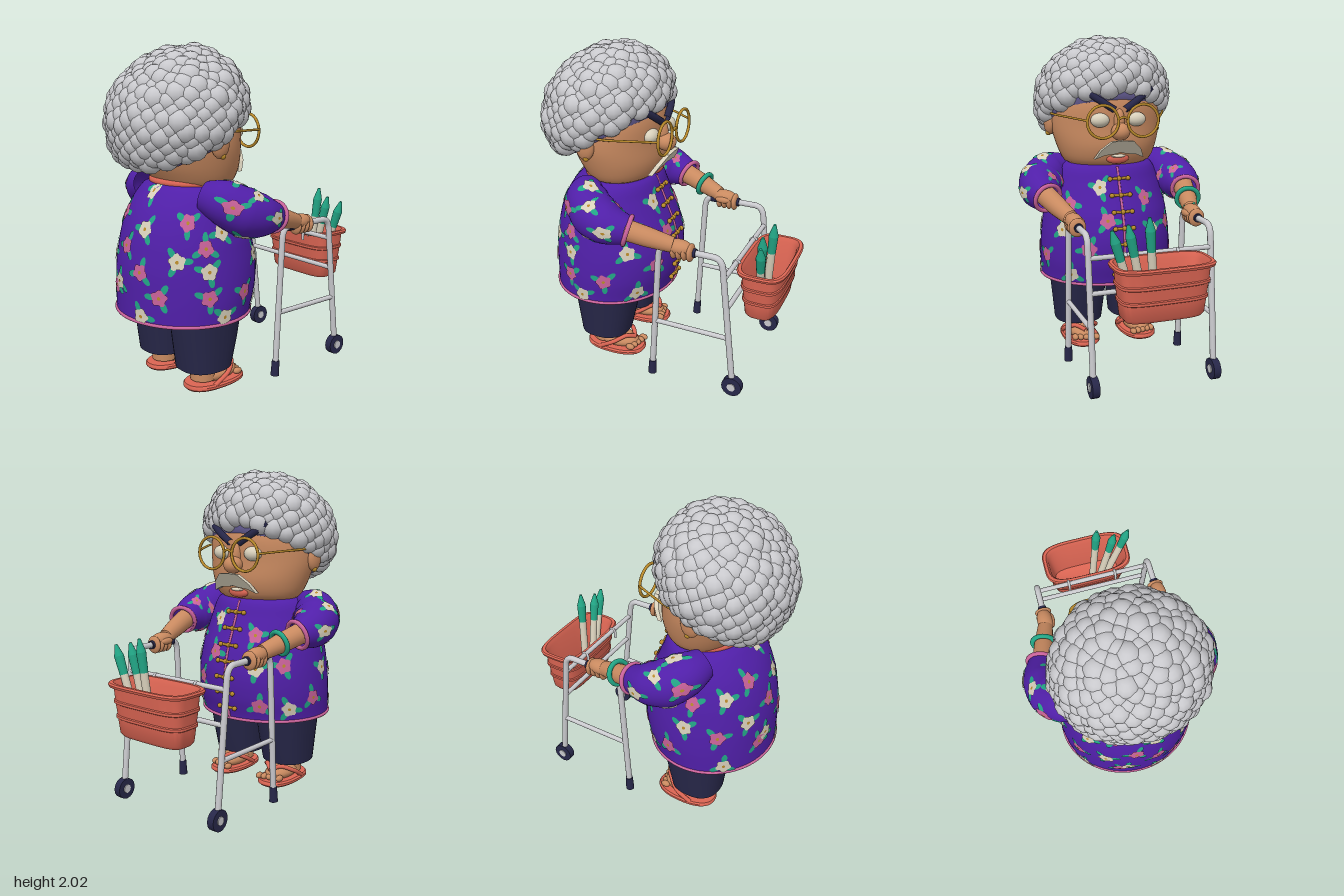
import * as THREE from 'three';
import { mergeGeometries, toCreasedNormals } from 'three/addons/utils/BufferGeometryUtils.js';

const V = (x, y, z) => new THREE.Vector3(x, y, z);
const paint = (name, color) => Object.assign(new THREE.MeshStandardMaterial({ color, side: THREE.DoubleSide }), { name });

// Surface from a grid of points: f(i, j) for i in 0..rows, j around 0..n
function grid(rows, n, f) {
  const pos = [], idx = [];
  for (let i = 0; i <= rows; i++) for (let j = 0; j <= n; j++) pos.push(...f(i, j / n).toArray());
  for (let i = 0; i < rows; i++) for (let j = 0; j < n; j++) {
    const a = i * (n + 1) + j, b = a + n + 1;
    idx.push(a, a + 1, b, a + 1, b + 1, b);
  }
  const g = new THREE.BufferGeometry();
  g.setAttribute('position', new THREE.Float32BufferAttribute(pos, 3));
  g.setIndex(idx);
  return toCreasedNormals(g, 0.7);
}

// Section row: [y, half width, z front, z back]; interpolated smoothly by height
function rowAt(rows, y) {
  let i = 0;
  while (i < rows.length - 2 && y > rows[i + 1][0]) i++;
  const t = (y - rows[i][0]) / (rows[i + 1][0] - rows[i][0]);
  const r = k => rows[Math.max(0, Math.min(rows.length - 1, k))];
  return [0, 1, 2, 3].map(c => {
    if (c === 0) return y;
    const [a, b, d, e] = [r(i - 1)[c], r(i)[c], r(i + 1)[c], r(i + 2)[c]];
    return b + 0.5 * t * (d - a + t * (2 * a - 5 * b + 4 * d - e + t * (3 * (b - d) + e - a)));
  });
}
const smooth = (rows, n) => Array.from({ length: n + 1 }, (_, i) =>
  rowAt(rows, THREE.MathUtils.lerp(rows[0][0], rows[rows.length - 1][0], i / n)));
function ringPoint([y, rx, zf, zb], a, off = 0, p = 2, cx = 0) {
  const q = v => Math.sign(v) * Math.abs(v) ** (2 / p);
  return V(cx + (rx + off) * q(Math.sin(a)), y, (zf + zb) / 2 + ((zb - zf) / 2 + off) * q(Math.cos(a)));
}
const loft = (rows, n = 48, p = 2, cx = 0) =>
  grid(rows.length - 1, n, (i, u) => ringPoint(rows[i], u * Math.PI * 2, 0, p, cx));

// Limb of changing radius along a curve
function limbPoint(curve, radii, t, a, off = 0) {
  t = THREE.MathUtils.clamp(t, 0, 1);
  const T = curve.getTangent(t), N = V(0, 1, 0).cross(T).normalize(), B = T.clone().cross(N);
  const k = Math.min(radii.length - 1.001, t * (radii.length - 1)), i = Math.floor(k);
  const r = THREE.MathUtils.lerp(radii[i], radii[i + 1], k - i) + off;
  return curve.getPoint(t).addScaledVector(N, r * Math.cos(a)).addScaledVector(B, r * Math.sin(a));
}

const TUNIC = [[0.45, 0.43, 0, 0.77], [0.6, 0.438, -0.04, 0.77], [0.75, 0.43, -0.05, 0.765], [0.9, 0.41, -0.02, 0.74],
  [1.0, 0.385, 0.02, 0.71], [1.1, 0.355, 0.06, 0.66], [1.2, 0.3, 0.1, 0.58], [1.26, 0.16, 0.2, 0.47]];
const HEAD = [[1.16, 0.16, 0.2, 0.45], [1.22, 0.28, 0.1, 0.52], [1.32, 0.33, 0.06, 0.58], [1.45, 0.36, 0.06, 0.62],
  [1.6, 0.35, 0.06, 0.62], [1.75, 0.3, 0.12, 0.6], [1.85, 0.1, 0.25, 0.5]];

export function createModel() {
  const root = new THREE.Group();
  const M = {
    purple: paint('purple cloth', 0x501fa8), pink: paint('pink', 0xc9629a), cream: paint('cream', 0xd8d0bb),
    teal: paint('teal', 0x22a585), navy: paint('navy', 0x272749), skin: paint('skin', 0xc98a60),
    coral: paint('coral', 0xdb6553), grey: paint('light grey', 0xc9c9cd), gold: paint('gold', 0xb8892a), mauve: paint('mauve', 0x675f96),
  };
  const add = (name, geo, mat, p) => {
    const m = new THREE.Mesh(geo, M[mat]);
    m.name = name;
    if (p) m.position.set(...p);
    root.add(m);
    return m;
  };
  const ball = (name, mat, p, s) => add(name, new THREE.SphereGeometry(1, 24, 16), mat, p).scale.set(...s);
  const tube = (name, mat, pts, r, closed = false) => add(name,
    new THREE.TubeGeometry(new THREE.CatmullRomCurve3(pts.map(p => p.isVector3 ? p : V(...p)), closed), pts.length * 6, r, 10, closed), mat);
  const rod = (name, mat, a, b, r0, r1 = r0) => {
    const A = V(...a), d = V(...b).sub(A);
    const m = add(name, new THREE.CylinderGeometry(r1, r0, d.length(), 16), mat);
    m.position.copy(A).addScaledVector(d, 0.5);
    m.quaternion.setFromUnitVectors(V(0, 1, 0), d.normalize());
    return m;
  };

  // Flowers: thin patches wrapped on a surface function (dx, dy, off) => point
  const patches = { teal: [], pink: [], cream: [], gold: [] };
  function patch(color, wrap, off, shape) {
    const g = new THREE.CircleGeometry(1, 20), P = g.attributes.position;
    for (let i = 0; i < P.count; i++) {
      const [x, y] = shape(P.getX(i), P.getY(i));
      P.setXYZ(i, ...wrap(x, y, off).toArray());
    }
    g.computeVertexNormals();
    patches[color].push(g);
  }
  function flower(color, wrap, turn) {
    for (let k = 0; k < 3; k++) {
      const a = turn + k * 2.1, c = Math.cos(a), s = Math.sin(a);
      patch('teal', wrap, 0.004, (x, y) => [c * (0.058 + x * 0.034) - s * y * 0.018, s * (0.058 + x * 0.034) + c * y * 0.018]);
    }
    patch(color, wrap, 0.007, (x, y) => {
      const r = 0.046 * (1 + 0.14 * Math.cos(5 * Math.atan2(y, x) + turn));
      return [x * r, y * r];
    });
    patch('gold', wrap, 0.009, (x, y) => [x * 0.01, y * 0.01]);
  }

  // Tunic with trim
  add('tunic', loft(smooth(TUNIC, 40), 64), 'purple');
  const hoop = y => Array.from({ length: 24 }, (_, i) => ringPoint(rowAt(TUNIC, y), i * Math.PI / 12));
  tube('hemTrim', 'pink', hoop(0.455), 0.01, true);
  tube('collar', 'coral', hoop(1.225), 0.022, true);
  tube('placket', 'pink', smooth(TUNIC.slice(0, 7), 12).map(r => ringPoint(r, Math.PI)), 0.008);
  for (let y = 0.53; y < 1.17; y += 0.1) {
    const z = rowAt(TUNIC, y)[2] - 0.008;
    tube('buttonLoop', 'gold', [[-0.06, y, z + 0.008], [0, y, z], [0.06, y, z + 0.008]], 0.009);
    for (const x of [-0.06, 0, 0.06]) ball('button', 'gold', [x, y, z], [0.015, 0.015, 0.015]);
  }
  // Flower places on the tunic: angle from the back in degrees, height
  const pinks = [[-25, 1.05], [14, 0.75], [53, 1.04], [-19, 0.62], [31, 0.62], [-57, 0.73], [68, 0.9], [104, 0.62], [130, 0.97],
    [150, 0.7], [-80, 0.95], [-100, 0.6], [-128, 0.82], [-155, 1.0], [-150, 0.56], [70, 0.62], [166, 0.88], [-5, 0.88]];
  const creams = [[14, 0.99], [-31, 0.8], [-12, 0.66], [70, 0.77], [15, 0.495], [84, 0.98], [85, 0.5], [124, 0.81], [5, 1.19],
    [-50, 0.98], [-52, 0.51], [-85, 0.78], [-125, 0.54], [-108, 1.0], [-152, 0.8], [135, 0.52], [160, 1.08], [45, 0.83]];
  [pinks, creams].forEach((list, c) => list.forEach(([deg, y], k) => flower(c ? 'cream' : 'pink',
    (dx, dy, off) => ringPoint(rowAt(TUNIC, Math.max(0.452, y + dy)), deg * Math.PI / 180 + dx / 0.41, off), k * 1.3 + c)));

  // Trousers
  ball('hips', 'navy', [0, 0.47, 0.37], [0.38, 0.11, 0.27]);
  for (const s of [-1, 1]) {
    add('trouserLeg', loft([[0.13, 0, 0.38, 0.38], [0.13, 0.155, 0.22, 0.54], [0.3, 0.172, 0.18, 0.56], [0.48, 0.19, 0.15, 0.58]], 32, 2.4, s * 0.192), 'navy');
    // Feet and sandals
    const x = s * 0.2;
    rod('ankle', 'skin', [x, 0.05, 0.39], [x, 0.16, 0.39], 0.078);
    ball('foot', 'skin', [x, 0.065, 0.3], [0.085, 0.05, 0.15]);
    for (let k = 0; k < 5; k++) ball('toe', 'skin', [x + s * (k - 2) * 0.034, 0.055, 0.145 + k * 0.008], [0.02, 0.02, 0.03]);
    add('sandalSole', loft([[0, 0, 0.31, 0.31], [0, 0.105, 0.12, 0.5], [0.012, 0.12, 0.108, 0.51], [0.026, 0.12, 0.108, 0.51],
      [0.036, 0.11, 0.115, 0.505], [0.036, 0, 0.31, 0.31]], 40, 2.4, x), 'coral');
    for (const q of [-1, 1]) tube('sandalStrap', 'coral', [[x, 0.1, 0.17], [x + q * 0.05, 0.122, 0.21], [x + q * 0.105, 0.09, 0.28], [x + q * 0.105, 0.03, 0.38]], 0.014);

    // Sleeve, cuff and forearm
    const path = new THREE.CatmullRomCurve3([V(s * 0.28, 1.17, 0.43), V(s * 0.38, 1.145, 0.38), V(s * 0.45, 1.09, 0.29), V(s * 0.475, 1.06, 0.19), V(s * 0.46, 1.035, 0.07)]);
    const radii = [0.09, 0.128, 0.142, 0.125, 0.085];
    add('sleeve', grid(24, 32, (i, u) => limbPoint(path, radii, i / 24, u * Math.PI * 2)), 'purple');
    const len = path.getLength();
    [[0.3, 1.5], [0.55, 0.2], [0.55, 2.2], [0.8, 1.0], [0.8, 3.1], [0.35, 3.0], [0.55, 4.4], [0.8, 5.2]].forEach(([t, a], k) =>
      flower(k % 2 ? 'pink' : 'cream', (dx, dy, off) => limbPoint(path, radii, t + dy * 0.8 / len, (s > 0 ? a : -a - Math.PI) + dx * 0.8 / 0.125, off), k * 1.7));
    const cuff = add('cuff', new THREE.TorusGeometry(0.086, 0.014, 10, 32), 'pink', [s * 0.46, 1.035, 0.07]);
    cuff.lookAt(s * 0.38, 0.95, -0.2);
    const arm = new THREE.CatmullRomCurve3([V(s * 0.465, 1.045, 0.12), V(s * 0.425, 1.0, -0.04), V(s * 0.385, 0.96, -0.18)]);
    add('forearm', grid(10, 20, (i, u) => limbPoint(arm, [0.066, 0.06, 0.047], i / 10, u * Math.PI * 2)), 'skin');

    // Hand wrapped round the grip
    ball('palm', 'skin', [s * 0.378, 0.952, -0.22], [0.05, 0.045, 0.085]);
    for (let k = 0; k < 4; k++) ball('finger', 'skin', [s * 0.376, 0.928, -0.19 - k * 0.034], [0.052, 0.056, 0.021]);
    ball('thumb', 'skin', [s * 0.335, 0.945, -0.22], [0.02, 0.022, 0.05]);

    // Walker side frame
    const X = s * 0.375, c = new THREE.CurvePath();
    const p = [V(X, 0.05, -0.04), V(X, 0.86, -0.085), V(X, 0.93, -0.09), V(X, 0.93, -0.14), V(X, 0.93, -0.43), V(X, 0.93, -0.485), V(X, 0.86, -0.492), V(X, 0.08, -0.575)];
    c.add(new THREE.LineCurve3(p[0], p[1]));
    c.add(new THREE.QuadraticBezierCurve3(p[1], p[2], p[3]));
    c.add(new THREE.LineCurve3(p[3], p[4]));
    c.add(new THREE.QuadraticBezierCurve3(p[4], p[5], p[6]));
    c.add(new THREE.LineCurve3(p[6], p[7]));
    add('walkerFrame', new THREE.TubeGeometry(c, 90, 0.019, 12), 'grey');
    rod('sideBar', 'grey', [X, 0.4, -0.06], [X, 0.4, -0.54], 0.015);
    rod('grip', 'navy', [X, 0.93, -0.13], [X, 0.93, -0.325], 0.027);
    rod('rubberFoot', 'navy', [X, 0, -0.037], [X, 0.095, -0.042], 0.027, 0.023);
    rod('wheel', 'navy', [X - 0.022, 0.066, -0.577], [X + 0.022, 0.066, -0.577], 0.064);
    rod('wheelHub', 'grey', [X - 0.028, 0.066, -0.577], [X + 0.028, 0.066, -0.577], 0.026);

    // Ears, eyes, brows and glasses
    ball('ear', 'skin', [s * 0.365, 1.47, 0.385], [0.035, 0.085, 0.06]);
    ball('earring', 'gold', [s * 0.375, 1.4, 0.375], [0.018, 0.018, 0.018]);
    ball('eye', 'cream', [s * 0.12, 1.5, 0.075], [0.06, 0.045, 0.045]);
    tube('eyebrow', 'navy', [[s * 0.035, 1.565, 0.045], [s * 0.12, 1.62, 0.055], [s * 0.22, 1.69, 0.09]], 0.022);
    add('glassesRim', new THREE.TorusGeometry(0.1, 0.009, 10, 36), 'gold', [s * 0.13, 1.5, -0.02]);
    tube('glassesTemple', 'gold', [[s * 0.23, 1.51, -0.02], [s * 0.3, 1.52, 0.11], [s * 0.37, 1.53, 0.27], [s * 0.38, 1.54, 0.42]], 0.007);
  }
  for (const [color, list] of Object.entries(patches)) add(color + 'FlowerParts', mergeGeometries(list), color);
  add('bangle', new THREE.TorusGeometry(0.07, 0.015, 10, 32), 'teal', [-0.42, 1.0, -0.06]).lookAt(-0.38, 0.95, -0.22);

  // Head and face
  add('head', loft(smooth(HEAD, 32), 48), 'skin');
  ball('nose', 'skin', [0, 1.43, 0.03], [0.06, 0.055, 0.06]);
  ball('noseBridge', 'skin', [0, 1.49, 0.06], [0.035, 0.08, 0.04]);
  tube('glassesBridge', 'gold', [[-0.035, 1.51, -0.02], [0, 1.525, -0.025], [0.035, 1.51, -0.02]], 0.008);
  ball('mouth', 'coral', [0, 1.255, 0.09], [0.075, 0.035, 0.03]);
  ball('teeth', 'cream', [0, 1.272, 0.078], [0.05, 0.012, 0.025]);
  const tache = new THREE.Shape([[0, 1.38], [0.07, 1.375], [0.13, 1.32], [0.16, 1.26], [0.1, 1.285], [0.04, 1.29], [0, 1.3],
    [-0.04, 1.29], [-0.1, 1.285], [-0.16, 1.26], [-0.13, 1.32], [-0.07, 1.375]].map(p => new THREE.Vector2(...p)));
  const tg = new THREE.ExtrudeGeometry(tache, { depth: 0.03, bevelEnabled: false }), tp = tg.attributes.position;
  for (let i = 0; i < tp.count; i++) tp.setZ(i, tp.getZ(i) - 0.025 + (1.38 - tp.getY(i)) * 0.65);
  tg.computeVertexNormals();
  add('moustache', tg, 'cream');

  // Hair: mauve cap cut by a sloping hairline, covered in curls
  const hairline = z => 1.68 - 0.55 * z;
  const hairPoint = (d, k) => V(d.x * (0.455 - k), 1.615 + d.y * (0.385 - k) - 0.18 * d.z * 0.4, 0.415 + d.z * (0.405 - k));
  const cap = new THREE.SphereGeometry(1, 48, 32), cp = cap.attributes.position;
  for (let i = 0; i < cp.count; i++) {
    const q = hairPoint(V(0, 0, 0).fromBufferAttribute(cp, i), 0.045);
    cp.setXYZ(i, q.x, Math.max(q.y, hairline(q.z) - 0.02), q.z);
  }
  cap.computeVertexNormals();
  add('hairCap', cap, 'mauve');
  const curls = [];
  for (let i = 0; i < 420; i++) {
    const y = 1 - 2 * (i + 0.5) / 420, r = Math.sqrt(1 - y * y), a = i * 2.39996;
    const h = Math.abs(Math.sin(i * 12.9898) * 43758.5) % 1, size = 0.058 + 0.02 * h;
    const q = hairPoint(V(r * Math.cos(a), y, r * Math.sin(a)), 0.066);
    if (q.y > hairline(q.z) + 0.045) curls.push(new THREE.SphereGeometry(size, 12, 8).translate(q.x, q.y, q.z));
  }
  add('curls', mergeGeometries(curls), 'grey');

  // Walker cross bars and basket
  rod('crossBar', 'grey', [-0.375, 0.8, -0.5], [0.375, 0.8, -0.5], 0.015);
  rod('crossBar', 'grey', [-0.375, 0.6, -0.522], [0.375, 0.6, -0.522], 0.015);
  const outer = [[0.48, 0], [0.48, 0.225], [0.5, 0.24], [0.585, 0.25], [0.59, 0.258], [0.605, 0.258], [0.61, 0.252], [0.675, 0.26], [0.68, 0.268],
    [0.695, 0.268], [0.7, 0.262], [0.77, 0.268], [0.775, 0.29], [0.79, 0.295], [0.8, 0.288], [0.8, 0.27], [0.77, 0.255], [0.51, 0.225], [0.5, 0.2], [0.5, 0]];
  add('basket', loft(outer.map(([y, r]) => [y, r, -0.665 - Math.max(0, r - 0.138), -0.665 + Math.max(0, r - 0.138)]), 48, 4), 'coral');
  for (const x of [-0.16, 0.16]) tube('basketHook', 'grey', [[x, 0.77, -0.53], [x, 0.81, -0.51], [x, 0.8, -0.485], [x, 0.75, -0.48]], 0.009);

  // Spring onions leaning in the basket
  for (const [x0, z0, x1, z1, top] of [[0.04, -0.66, 0.09, -0.7, 1.06], [0.09, -0.64, 0.2, -0.665, 1.02], [0.15, -0.66, 0.3, -0.685, 1.0]]) {
    const at = t => [x0 + (x1 - x0) * t, 0.52 + (top - 0.52) * t, z0 + (z1 - z0) * t];
    rod('onionStem', 'cream', at(0), at(0.66), 0.024);
    rod('onionLeaf', 'teal', at(0.64), at(0.86), 0.025, 0.029);
    rod('onionTip', 'teal', at(0.86), at(1), 0.029, 0.008);
  }
  return root;
}
